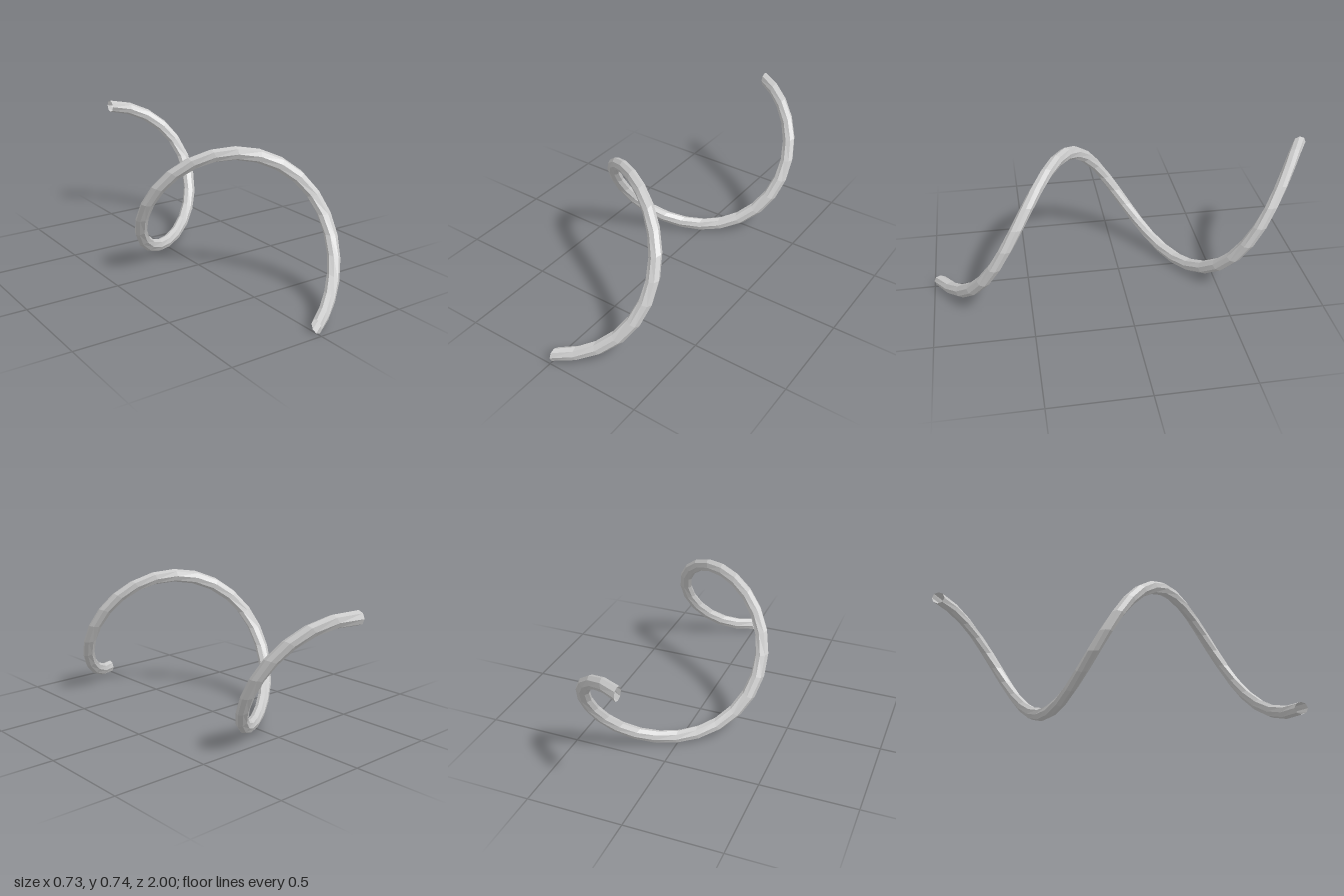
import * as THREE from 'three';

export function createModel() {
  const group = new THREE.Group();
  const coilRadius = 0.335, tubeRadius = 0.035, segments = 33, halfLength = 1 - tubeRadius;

  // One and a half turns of a ring, starting at the bottom, drawn out along z into a coil
  const geometry = new THREE.TorusGeometry(coilRadius, tubeRadius, 8, segments, Math.PI * 3);
  geometry.rotateZ(-Math.PI / 2);
  const position = geometry.attributes.position;
  for (let i = 0; i < position.count; i++) {
    const t = (i % (segments + 1)) / segments;
    position.setZ(i, position.getZ(i) + halfLength * (1 - 2 * t));
  }
  geometry.translate(0, coilRadius + tubeRadius, 0);
  geometry.computeVertexNormals();

  // Open-ended hollow tube
  const coil = new THREE.Mesh(geometry, new THREE.MeshStandardMaterial({
    color: 0xcccccc, flatShading: true, side: THREE.DoubleSide,
  }));
  coil.name = 'coil';
  group.add(coil);
  return group;
}
